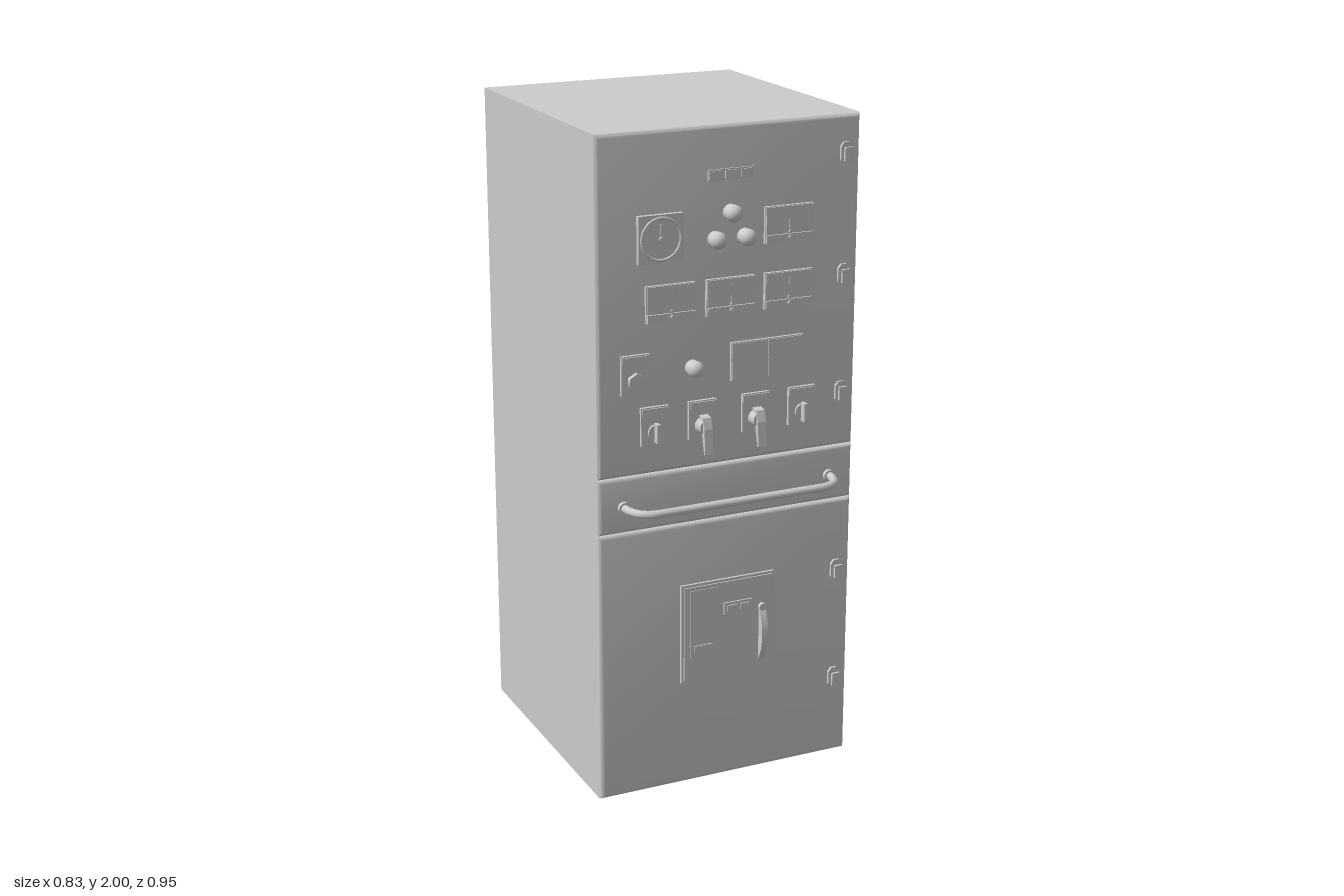
import * as THREE from 'three';
import { toCreasedNormals } from 'three/addons/utils/BufferGeometryUtils.js';

const material = new THREE.MeshStandardMaterial({ color: 0xcccccc });
const W = 0.826, BACK = -0.475, FACE = 0.372;

export function createModel() {
  const model = new THREE.Group();
  model.name = 'controlCabinet';

  const group = (name, x, y, z = FACE) => {
    const g = new THREE.Group();
    g.name = name;
    g.position.set(x, y, z);
    model.add(g);
    return g;
  };
  const add = (parent, name, geometry, x = 0, y = 0, z = 0) => {
    const m = new THREE.Mesh(geometry, material);
    m.name = name;
    m.position.set(x, y, z);
    parent.add(m);
    return m;
  };
  // Box and disc whose backs sit at z0 and which rise forward by d
  const box = (p, name, w, h, d, x = 0, y = 0, z0 = 0) =>
    add(p, name, new THREE.BoxGeometry(w, h, d), x, y, z0 + d / 2);
  const disc = (p, name, r, d, x = 0, y = 0, z0 = 0, sides = 28, rFront = r) =>
    add(p, name, new THREE.CylinderGeometry(rFront, r, d, sides).rotateX(Math.PI / 2), x, y, z0 + d / 2);
  const polygon = pts => new THREE.Shape(pts.map(p => new THREE.Vector2(...p)));

  // Cabinet body
  const bodyDepth = 0.355 - BACK;
  add(model, 'body', new THREE.BoxGeometry(W, 2, bodyDepth), 0, 1, BACK + bodyDepth / 2);

  // Front panels with rounded edges
  const bevel = 0.014;
  const panel = (name, y0, y1) => {
    const x = W / 2 - bevel, a = y0 + bevel, b = y1 - bevel;
    const g = new THREE.ExtrudeGeometry(polygon([[-x, a], [x, a], [x, b], [-x, b]]), {
      depth: 0.003, bevelThickness: bevel, bevelSize: bevel, bevelSegments: 4,
    });
    add(model, name, toCreasedNormals(g, 0.6), 0, 0, 0.355);
  };
  panel('lowerDoor', 0, 0.838);
  panel('middlePanel', 0.838, 1.008);
  panel('upperDoor', 1.008, 2);

  // Door latches along the right edge of the front
  const latchShape = polygon([[-0.009, -0.033], [0.009, -0.033], [0.018, -0.02], [0.018, 0.02],
    [0.009, 0.033], [-0.009, 0.033], [-0.018, 0.02], [-0.018, -0.02]]);
  for (const y of [1.887, 1.53, 1.175, 0.61, 0.253]) {
    const g = group('doorLatch', 0.365, y);
    add(g, 'latchPlate', new THREE.ExtrudeGeometry(latchShape, { depth: 0.008, bevelEnabled: false }));
    disc(g, 'latchStem', 0.01, 0.012, 0, 0, 0.006, 16);
    box(g, 'latchCap', 0.026, 0.04, 0.008, 0, 0, 0.016);
  }

  // Row of small status windows
  const status = group('statusStrip', 0, 1.859);
  box(status, 'stripBase', 0.142, 0.032, 0.005);
  for (const x of [-0.049, 0, 0.049]) box(status, 'statusWindow', 0.038, 0.024, 0.005, x, 0, 0.004);

  // Round dial gauge
  const dial = group('dialGauge', -0.219, 1.696);
  box(dial, 'dialHousing', 0.138, 0.138, 0.014);
  add(dial, 'dialRim', new THREE.TorusGeometry(0.06, 0.004, 8, 40), 0, 0, 0.014);
  box(dial, 'dialNeedle', 0.005, 0.05, 0.003, 0, 0.018, 0.014);
  disc(dial, 'dialHub', 0.007, 0.006, 0, 0, 0.014, 16);

  // Signal lamps
  for (const [x, y] of [[0, 1.75], [-0.048, 1.677], [0.045, 1.677], [-0.117, 1.31]]) {
    const g = group('signalLamp', x, y);
    disc(g, 'lampCollar', 0.023, 0.018);
    add(g, 'lampLens', new THREE.SphereGeometry(0.025, 24, 16), 0, 0, 0.024);
  }

  // Pointer meters
  for (const [x, y] of [[0.183, 1.701], [-0.187, 1.509], [0, 1.509], [0.184, 1.509]]) {
    const g = group('pointerMeter', x, y);
    box(g, 'meterHousing', 0.153, 0.108, 0.01);
    box(g, 'meterWindow', 0.149, 0.076, 0.005, 0, 0.014, 0.009);
    box(g, 'meterLowerCover', 0.149, 0.024, 0.007, 0, -0.04, 0.009);
    box(g, 'meterPointer', 0.003, 0.06, 0.003, 0, 0.008, 0.013);
    disc(g, 'meterScrew', 0.006, 0.009, 0, -0.038, 0.014, 12);
    disc(g, 'meterPivot', 0.005, 0.006, 0, -0.022, 0.013, 12);
  }

  // Twin display
  const display = group('twinDisplay', 0.12, 1.312);
  box(display, 'displayHousing', 0.233, 0.115, 0.009);
  for (const s of [-1, 1]) box(display, 'displayWindow', 0.112, 0.109, 0.004, s * 0.058, 0, 0.008);

  // Switch plate with a label strip along its top
  const switchBase = (name, x, y) => {
    const g = group(name, x, y);
    box(g, 'switchPlate', 0.087, 0.115, 0.01);
    box(g, 'labelStrip', 0.083, 0.02, 0.005, 0, 0.044, 0.009);
    return g;
  };
  const hex = switchBase('hexSwitch', -0.297, 1.312);
  disc(hex, 'hexKnob', 0.027, 0.016, 0, -0.019, 0.009, 6);

  for (const x of [-0.237, 0.234]) {
    const g = switchBase('rotarySwitch', x, 1.153);
    disc(g, 'rotaryDisc', 0.023, 0.008, 0, -0.017, 0.009);
    box(g, 'rotaryGrip', 0.011, 0.056, 0.024, 0, -0.017, 0.014);
  }

  // Switches with a downward pistol grip
  const gripProfile = polygon([[0.014, 0.016], [0.038, 0.012], [0.048, -0.02], [0.054, -0.094],
    [0.046, -0.094], [0.032, -0.04], [0.014, -0.026]]);
  for (const x of [-0.087, 0.084]) {
    const g = switchBase('leverSwitch', x, 1.153);
    disc(g, 'leverHub', 0.026, 0.03, 0, -0.017, 0.009, 28, 0.022);
    const grip = new THREE.ExtrudeGeometry(gripProfile, { depth: 0.026, bevelEnabled: false });
    // Profile x becomes forward z
    grip.translate(0, 0, -0.013).rotateY(-Math.PI / 2);
    add(g, 'leverGrip', grip);
  }

  // Pull bar on the middle panel
  const bar = group('pullBar', 0, 0.918, 0);
  const path = new THREE.CurvePath(), v = (x, z) => new THREE.Vector3(x, 0, z);
  const X = 0.333, Z = 0.463, R = 0.075;
  path.add(new THREE.LineCurve3(v(-X, 0.365), v(-X, Z - R)));
  path.add(new THREE.QuadraticBezierCurve3(v(-X, Z - R), v(-X + 0.008, Z), v(-X + R, Z)));
  path.add(new THREE.LineCurve3(v(-X + R, Z), v(X - R, Z)));
  path.add(new THREE.QuadraticBezierCurve3(v(X - R, Z), v(X - 0.008, Z), v(X, Z - R)));
  path.add(new THREE.LineCurve3(v(X, Z - R), v(X, 0.365)));
  add(bar, 'barTube', new THREE.TubeGeometry(path, 120, 0.012, 16));
  for (const s of [-1, 1]) disc(bar, 'barFlange', 0.018, 0.014, s * X, 0, FACE - 0.002);

  // Circuit breaker in the lower door
  const breaker = group('circuitBreaker', 0, 0.489);
  box(breaker, 'breakerFrame', 0.307, 0.312, 0.008);
  box(breaker, 'breakerFace', 0.291, 0.296, 0.006, 0, 0, 0.006);
  box(breaker, 'breakerSidePlate', 0.09, 0.275, 0.003, -0.082, 0, 0.011);
  box(breaker, 'sideLatch', 0.058, 0.006, 0.006, -0.084, -0.042, 0.012);
  box(breaker, 'sideLatchFoot', 0.006, 0.018, 0.006, -0.11, -0.051, 0.012);
  box(breaker, 'buttonPlate', 0.092, 0.037, 0.006, 0.029, 0.064, 0.011);
  for (const x of [0.008, 0.05]) box(breaker, 'breakerButton', 0.03, 0.02, 0.006, x, 0.064, 0.015);
  // Bowed charging handle
  const bow = new THREE.Shape();
  bow.moveTo(0.01, -0.127);
  bow.quadraticCurveTo(0.066, -0.034, 0.01, 0.058);
  bow.closePath();
  const handle = new THREE.ExtrudeGeometry(bow, { depth: 0.02, bevelEnabled: false, curveSegments: 16 });
  handle.translate(0, 0, -0.01).rotateY(-Math.PI / 2);
  add(breaker, 'chargingHandle', toCreasedNormals(handle, 0.6), 0.11, 0, 0);
  disc(breaker, 'handlePivot', 0.012, 0.012, 0.11, 0.05, 0.011, 16);

  return model;
}
